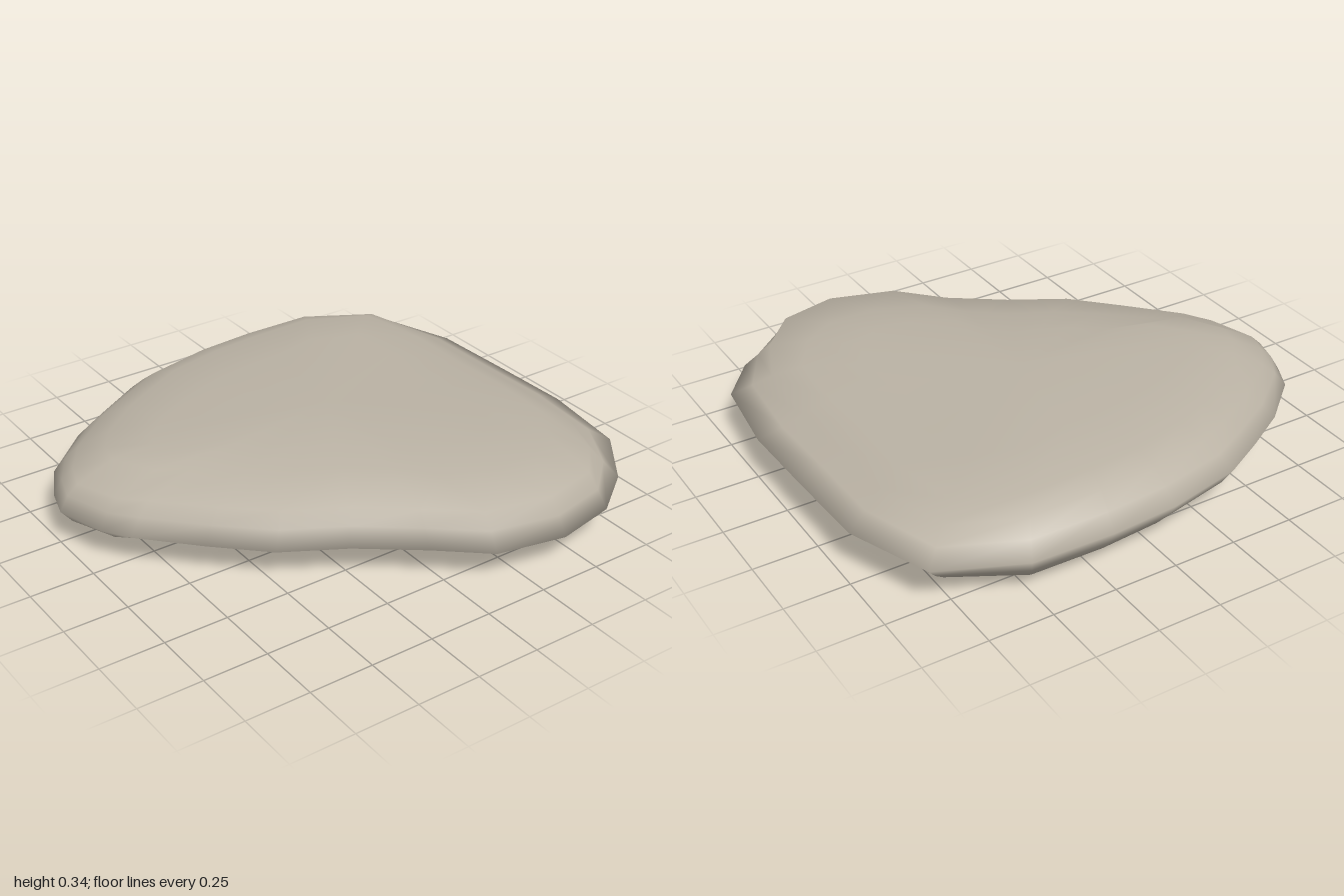
import * as THREE from 'three';

// Widest outline of the stone, [x, z], clockwise seen from above
const outline = [
  [-1, -0.23], [-0.97, -0.34], [-0.9, -0.47], [-0.71, -0.64], [-0.53, -0.75], [-0.35, -0.85],
  [-0.05, -0.92], [0.22, -0.94], [0.54, -0.93], [0.85, -0.79], [0.975, -0.46], [0.99, -0.1],
  [1, 0.22], [0.955, 0.57], [0.81, 0.77], [0.64, 0.89], [0.4, 0.935], [0.13, 0.88],
  [-0.05, 0.73], [-0.27, 0.56], [-0.5, 0.43], [-0.68, 0.26], [-0.87, 0.06], [-0.94, -0.04],
];

// Edge profile on each side, [inset, height], from underside to top
const profiles = {
  left: [[0.4, 0.005], [0.18, 0.02], [0.04, 0.09], [0, 0.14], [0.03, 0.2], [0.07, 0.24], [0.2, 0.31], [0.36, 0.335]],
  right: [[0.5, 0.02], [0.19, 0.045], [0.08, 0.12], [0, 0.18], [0.09, 0.22], [0.17, 0.26], [0.27, 0.305], [0.5, 0.325]],
  front: [[0.55, 0.01], [0.28, 0.035], [0.1, 0.1], [0, 0.13], [0.03, 0.21], [0.06, 0.28], [0.28, 0.31], [0.48, 0.335]],
  back: [[0.44, 0.01], [0.09, 0.06], [0.04, 0.12], [0, 0.185], [0.06, 0.235], [0.12, 0.28], [0.21, 0.31], [0.44, 0.335]],
};

function stoneGeometry() {
  const n = outline.length;
  const rings = profiles.left.length;
  const cx = 0.05, cz = -0.05;
  const positions = [];
  const index = [];

  // Rings: inset the outline, blending side profiles by the edge direction
  for (let k = 0; k < rings; k++) {
    outline.forEach(([x, z], i) => {
      const prev = outline[(i + n - 1) % n];
      const next = outline[(i + 1) % n];
      const normal = new THREE.Vector2(next[1] - prev[1], prev[0] - next[0]).normalize();
      const a = profiles[normal.x < 0 ? 'left' : 'right'][k];
      const b = profiles[normal.y < 0 ? 'back' : 'front'][k];
      const w = normal.y * normal.y;
      const inset = THREE.MathUtils.lerp(a[0], b[0], w);
      const y = THREE.MathUtils.lerp(a[1], b[1], w);
      const reach = (x - cx) * normal.x + (z - cz) * normal.y;
      const s = 1 - inset / reach;
      positions.push(cx + (x - cx) * s, y, cz + (z - cz) * s);
    });
  }
  const bottom = rings * n;
  const top = bottom + 1;
  positions.push(cx, 0, cz, cx, 0.34, cz);

  // Sides and the two caps
  for (let i = 0; i < n; i++) {
    const j = (i + 1) % n;
    for (let k = 0; k < rings - 1; k++) {
      const a = k * n + i, b = k * n + j, c = b + n, d = a + n;
      index.push(b, a, d, b, d, c);
    }
    index.push(bottom, i, j);
    index.push(top, (rings - 1) * n + j, (rings - 1) * n + i);
  }

  const geometry = new THREE.BufferGeometry();
  geometry.setAttribute('position', new THREE.Float32BufferAttribute(positions, 3));
  geometry.setIndex(index);
  geometry.computeVertexNormals();
  return geometry;
}

export function createModel() {
  const group = new THREE.Group();
  group.name = 'flatStone';
  const material = new THREE.MeshStandardMaterial({ color: 0xbab2a4 });
  material.name = 'warm grey stone';
  const stone = new THREE.Mesh(stoneGeometry(), material);
  stone.name = 'stone';
  group.add(stone);
  return group;
}
